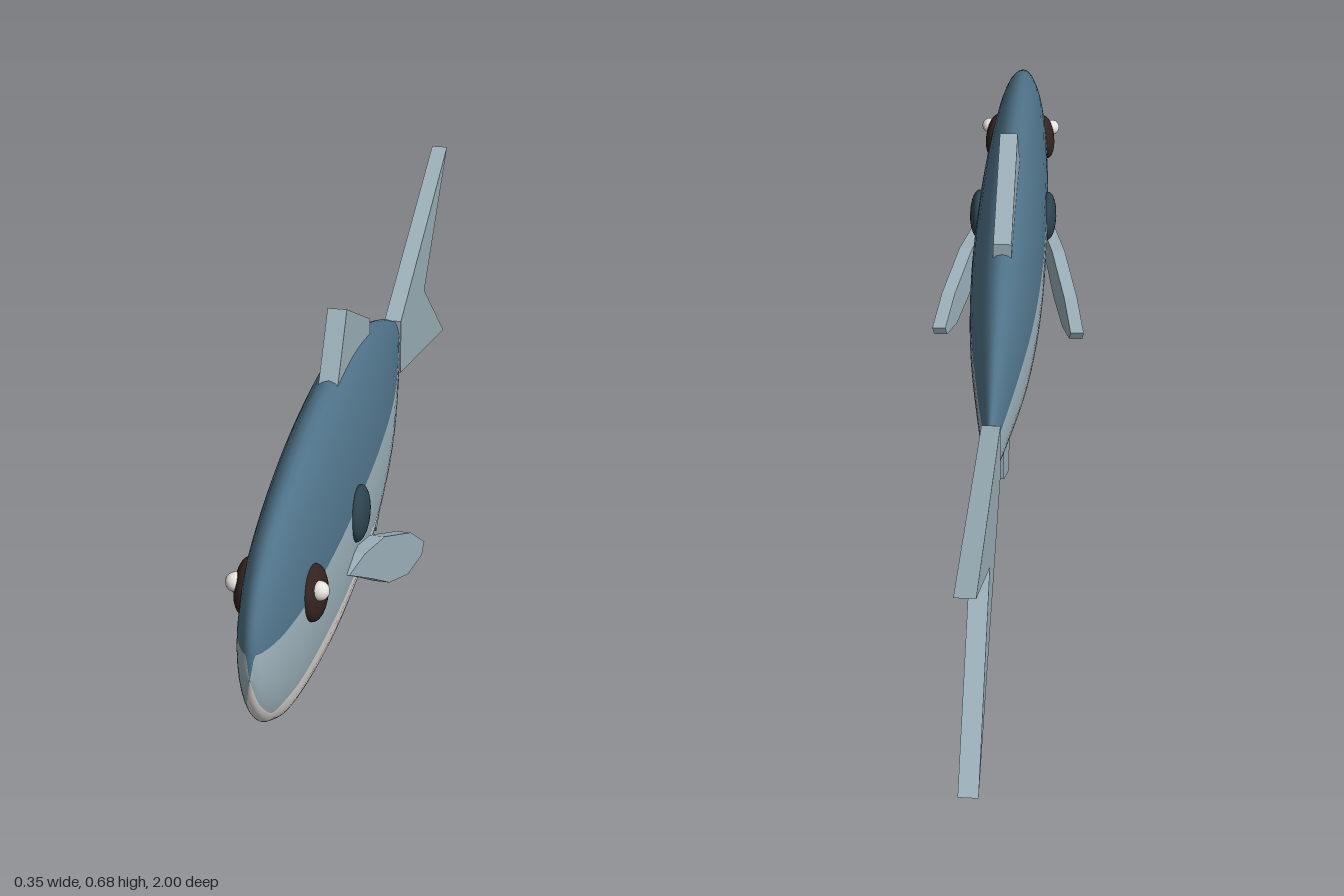
import * as THREE from 'three';

const mat = (name, color) => Object.assign(new THREE.MeshStandardMaterial({ color }), { name });

// Body stations from nose to tail: z, top, bottom, half width
const STATIONS = [
  [1, 0.326, 0.324, 0.001], [0.985, 0.395, 0.262, 0.018], [0.95, 0.445, 0.21, 0.034],
  [0.9, 0.483, 0.17, 0.047], [0.8, 0.525, 0.122, 0.062], [0.6, 0.558, 0.08, 0.076],
  [0.4, 0.571, 0.064, 0.081], [0.2, 0.565, 0.068, 0.08], [0, 0.525, 0.112, 0.067],
  [-0.2, 0.452, 0.19, 0.04], [-0.36, 0.375, 0.262, 0.014],
];

// Elliptical cross-sections whose columns follow the colour boundaries
function bodyGeometry() {
  const curve = (f) => new THREE.CatmullRomCurve3(STATIONS.map(f), false, 'catmullrom');
  const heights = curve(([z, t, b]) => new THREE.Vector3(z, t, b));
  const widths = curve(([z, , , w]) => new THREE.Vector3(z, w, 0));
  const rows = 50, side = 6, cap = 16;
  const cols = 2 * (side + cap);
  const pos = [], index = [];
  for (let i = 0; i <= rows; i++) {
    const { x: z, y: top, z: bottom } = heights.getPoint(i / rows);
    const rx = widths.getPoint(i / rows).y;
    const cy = (top + bottom) / 2, ry = (top - bottom) / 2;
    const aft = THREE.MathUtils.clamp((0.2 - z) / 0.56, 0, 1);
    const angle = (y) => Math.asin(THREE.MathUtils.clamp((y - cy) / ry, -0.85, 0.85));
    const low = angle(0.216 + 0.055 * aft * aft);
    const high = angle(0.371 - 0.018 * aft);
    const arcs = [
      [low, high, side], [high, Math.PI - high, cap],
      [Math.PI - high, Math.PI - low, side], [Math.PI - low, 2 * Math.PI + low, cap],
    ];
    for (const [from, to, n] of arcs) {
      for (let k = 0; k < n; k++) {
        const a = from + ((to - from) * k) / n;
        pos.push(rx * Math.cos(a), cy + ry * Math.sin(a), z);
      }
    }
  }
  for (let j = 0; j < cols; j++) {
    for (let i = 0; i < rows; i++) {
      const a = i * cols + j, b = i * cols + ((j + 1) % cols);
      index.push(a, a + cols, b, b, a + cols, b + cols);
    }
  }
  const geo = new THREE.BufferGeometry();
  geo.setAttribute('position', new THREE.Float32BufferAttribute(pos, 3));
  geo.setIndex(index);
  geo.computeVertexNormals();
  // Material order: back, flank, belly
  let start = 0;
  for (const [n, m] of [[side, 1], [cap, 0], [side, 1], [cap, 2]]) {
    geo.addGroup(start, n * rows * 6, m);
    start += n * rows * 6;
  }
  return geo;
}

// Flat plate from (z, y) points, extruded across x
function plate(points, depth) {
  const shape = new THREE.Shape(points.map(([z, y]) => new THREE.Vector2(z, y)));
  return new THREE.ExtrudeGeometry(shape, { depth, bevelEnabled: false })
    .translate(0, 0, -depth / 2)
    .rotateY(-Math.PI / 2);
}

export function createModel() {
  const group = new THREE.Group();
  const back = mat('back blue', 0x4f7288);
  const silver = mat('silver blue', 0x9bafb8);
  const belly = mat('belly white', 0xe2deda);
  const spotDark = mat('spot slate', 0x2c434e);
  const eyeDark = mat('eye brown', 0x33231f);
  const glint = mat('eye highlight', 0xf2eeea);

  const add = (name, geo, material) => {
    const mesh = new THREE.Mesh(geo, material);
    mesh.name = name;
    group.add(mesh);
    return mesh;
  };

  add('body', bodyGeometry(), [back, silver, belly]);

  // Fins on the centre line
  const FINS = {
    tailFin: [[-0.34, 0.385], [-1, 0.575], [-0.67, 0.32], [-1, 0.065], [-0.34, 0.255]],
    dorsalFin: [[0.37, 0.55], [0.27, 0.685], [0.035, 0.56], [0.035, 0.5], [0.2, 0.5]],
    analFin: [[0.03, 0.14], [-0.045, 0.003], [-0.23, 0.145], [-0.23, 0.23], [-0.1, 0.2]],
  };
  for (const [name, points] of Object.entries(FINS)) add(name, plate(points, 0.038), silver);

  const PECTORAL = [
    [0.56, 0.27], [0.5, 0.283], [0.42, 0.277], [0.31, 0.225], [0.25, 0.17],
    [0.26, 0.145], [0.32, 0.133], [0.4, 0.16], [0.47, 0.21],
  ];
  const ball = (r) => new THREE.SphereGeometry(r, 24, 16);

  for (const [label, s] of [['left', 1], ['right', -1]]) {
    // Side fin, flaring outwards towards the tail
    const fin = plate(PECTORAL, 0.03);
    const p = fin.attributes.position;
    for (let i = 0; i < p.count; i++) {
      p.setX(i, p.getX(i) + s * (0.066 + 0.3 * (0.56 - p.getZ(i))));
    }
    fin.computeVertexNormals();
    add(label + 'PectoralFin', fin, silver);

    // Flattened eye, its highlight and the flank spot
    const eye = add(label + 'Eye', ball(0.052).scale(0.4, 1, 1), eyeDark);
    eye.position.set(s * 0.062, 0.367, 0.777);
    eye.rotation.set(0, -s * 0.1, s * 0.1);
    add(label + 'EyeHighlight', ball(0.018), glint).position.set(s * 0.076, 0.384, 0.795);
    add(label + 'Spot', ball(0.056).scale(0.36, 1, 1), spotDark).position.set(s * 0.08, 0.348, 0.46);
  }
  return group;
}
